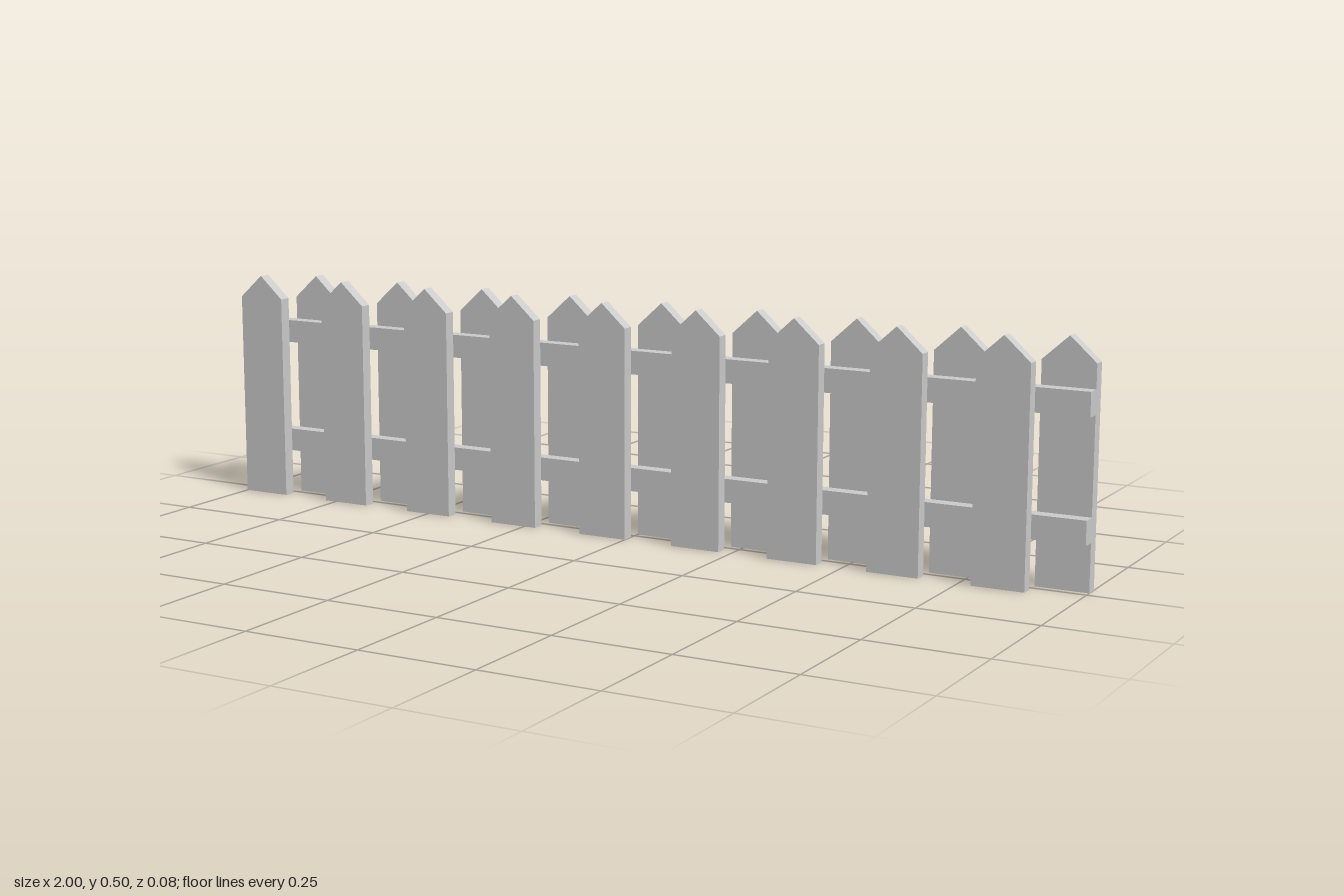
import * as THREE from 'three';

const LENGTH = 2, COUNT = 18, PITCH = LENGTH / COUNT;
const RAIL_DEPTH = 0.03, RAIL_HEIGHT = 0.05, PICKET_DEPTH = 0.027;
const SHOULDER = 0.45, TIP = 0.5;

export function createModel() {
  const fence = new THREE.Group();
  fence.name = 'picketFence';
  const material = new THREE.MeshStandardMaterial({ color: 0xcccccc, flatShading: true });

  // Pointed board, back face at z = 0
  const w = PITCH / 2;
  const outline = new THREE.Shape([
    [-w, 0], [w, 0], [w, SHOULDER], [0, TIP], [-w, SHOULDER],
  ].map(([x, y]) => new THREE.Vector2(x, y)));
  const picketGeometry = new THREE.ExtrudeGeometry(outline, { depth: PICKET_DEPTH, bevelEnabled: false });

  // Pickets alternate between the front and the back of the rails
  for (let i = 0; i < COUNT; i++) {
    const front = i % 2 === 0;
    const picket = new THREE.Mesh(picketGeometry, material);
    picket.name = front ? 'frontPicket' : 'backPicket';
    picket.position.set(-LENGTH / 2 + (i + 0.5) * PITCH, 0, front ? RAIL_DEPTH / 2 : -RAIL_DEPTH / 2 - PICKET_DEPTH);
    fence.add(picket);
  }

  // Two horizontal rails between the picket rows
  const railGeometry = new THREE.BoxGeometry(LENGTH, RAIL_HEIGHT, RAIL_DEPTH);
  for (const [name, y] of [['lowerRail', 0.125], ['upperRail', 0.375]]) {
    const rail = new THREE.Mesh(railGeometry, material);
    rail.name = name;
    rail.position.y = y;
    fence.add(rail);
  }
  return fence;
}
